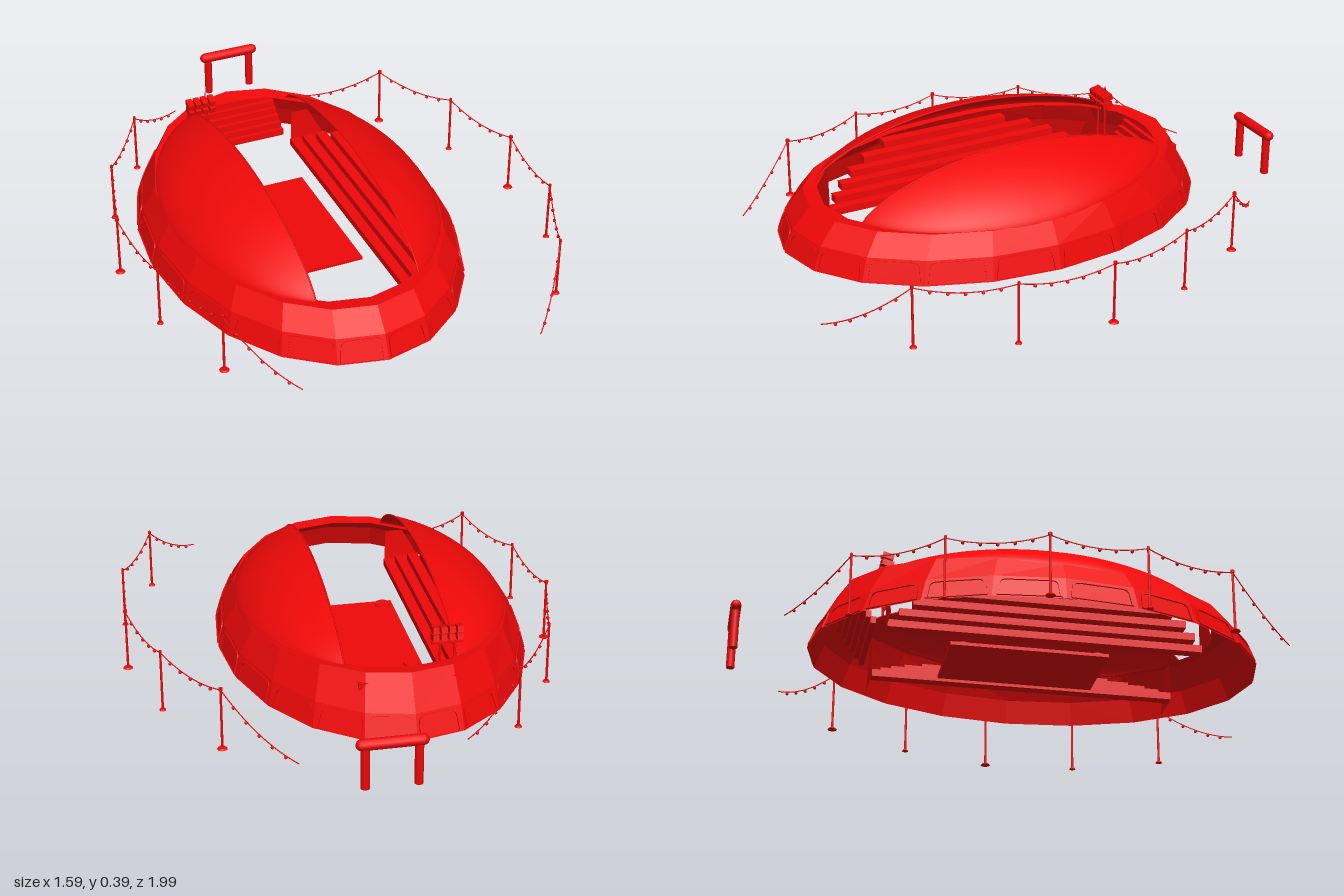
import * as THREE from 'three';

const red = new THREE.MeshStandardMaterial({ color: 0xf00808, side: THREE.DoubleSide });
const redFlat = new THREE.MeshStandardMaterial({ color: 0xf00808, side: THREE.DoubleSide, flatShading: true });
const SIDES = 20;
const V = (x, y, z) => new THREE.Vector3(x, y, z);

function add(parent, name, geo, pos = [0, 0, 0], mat = red) {
  const m = new THREE.Mesh(geo, mat);
  m.name = name;
  m.position.set(...pos);
  parent.add(m);
  return m;
}

// Rectangular patch of points f(s, t), s and t in 0..1, facing dt x ds
function grid(ns, nt, f) {
  const pos = [], idx = [];
  for (let j = 0; j <= nt; j++)
    for (let i = 0; i <= ns; i++) pos.push(...f(i / ns, j / nt).toArray());
  for (let j = 0; j < nt; j++)
    for (let i = 0; i < ns; i++) {
      const a = j * (ns + 1) + i, b = a + 1, c = a + ns + 1, d = c + 1;
      idx.push(a, c, b, b, c, d);
    }
  const g = new THREE.BufferGeometry();
  g.setAttribute('position', new THREE.Float32BufferAttribute(pos, 3));
  g.setIndex(idx);
  g.computeVertexNormals();
  return g;
}

// The rim rises toward the back end
const lift = z => 0.045 * Math.max(0, -z / 0.7);

// Outer wall rings: half width, half length, height
const RINGS = [[0.549, 0.803, 0.045], [0.527, 0.77, 0.13], [0.482, 0.705, 0.205], [0.458, 0.65, 0.2]];
function ringPoint(k, i) {
  const [a, b, y] = RINGS[k], t = (i / SIDES) * Math.PI * 2;
  const z = b * Math.sin(t);
  return V(a * Math.cos(t), y + (k > 1 ? lift(z) : 0), z);
}

function buildWall(g) {
  add(g, 'outerWall', grid(SIDES, 3, (s, t) => ringPoint(Math.round(t * 3), Math.round(s * SIDES))), [0, 0, 0], redFlat);
  // Raised arch frame on every facet
  for (let i = 0; i < SIDES; i++) {
    const p0 = ringPoint(0, i), p1 = ringPoint(0, i + 1);
    const low = p0.clone().lerp(p1, 0.5), high = ringPoint(1, i).lerp(ringPoint(1, i + 1), 0.5);
    const x = p0.clone().sub(p1), w = x.length();
    x.normalize();
    const up = high.sub(low), h = up.length();
    const n = x.clone().cross(up).normalize(), y = n.clone().cross(x);
    const arch = (half, top, r) => {
      const s = new THREE.Shape();
      s.moveTo(-half, 0.004);
      s.lineTo(half, 0.004);
      s.lineTo(half * 0.95, top - r);
      s.quadraticCurveTo(half * 0.94, top, half * 0.94 - r, top);
      s.lineTo(r - half * 0.94, top);
      s.quadraticCurveTo(-half * 0.94, top, -half * 0.95, top - r);
      s.closePath();
      return s;
    };
    const frame = arch(w * 0.44, h * 0.9, 0.026);
    frame.holes.push(arch(w * 0.44 - 0.008, h * 0.9 - 0.007, 0.022));
    const m = add(g, 'archFrame', new THREE.ExtrudeGeometry(frame, { depth: 0.005, bevelEnabled: false, curveSegments: 4 }));
    m.applyMatrix4(new THREE.Matrix4().makeBasis(x, y, n).setPosition(low));
  }
}

// Half-dome roof cut by an upright plane along the pitch
function buildRoof(g, side, edge) {
  const a = 0.48, b = 0.655, h = 0.203, end = b * Math.sqrt(1 - (edge / a) ** 2);
  const point = (s, t) => {
    const z = side * end * Math.sin((s - 0.5) * Math.PI);
    const rim = a * Math.sqrt(1 - (z / b) ** 2);
    const x = edge + (rim - edge) * (1 - t * t);
    const rise = Math.max(0, 1 - (x / a) ** 2 - (z / b) ** 2) ** 0.72;
    return V(side * x, 0.202 + lift(z) * (1 - rise) + h * rise, z);
  };
  add(g, 'roofShell', grid(36, 12, point));
  const path = [];
  for (let i = 0; i <= 24; i++) path.push(point(i / 24, 1));
  add(g, 'roofEdge', new THREE.TubeGeometry(new THREE.CatmullRomCurve3(path), 48, 0.003, 6));
}

// Stepped seating with closed ends
function buildStands(g) {
  for (const side of [1, -1]) {
    for (let i = 0; i < 6; i++) {
      const x = 0.212 + i * 0.038;
      const len = 2 * 0.64 * Math.sqrt(1 - ((x + 0.02) / 0.46) ** 2);
      add(g, 'sideSeatRow', new THREE.BoxGeometry(0.04, 0.027, len), [side * x + 0.012, 0.06 + i * 0.026, 0]);
    }
    for (const end of [1, -1]) {
      const wall = new THREE.Shape();
      wall.moveTo(side * 0.195, 0.045);
      wall.lineTo(side * 0.345, 0.045);
      wall.lineTo(side * 0.265, 0.19);
      wall.lineTo(side * 0.2, 0.19);
      wall.closePath();
      add(g, 'standEndWall', new THREE.ShapeGeometry(wall), [0.012, 0, end * 0.555]);
    }
  }
  for (let i = 0; i < 6; i++)
    add(g, 'endSeatRow', new THREE.BoxGeometry(0.36 - i * 0.006, 0.025, 0.019), [0.01, 0.09 + i * 0.023, -0.595 - i * 0.017]);
}

// Floodlight mast with a cluster of lamps
function buildMast(root) {
  const g = new THREE.Group();
  g.name = 'lampMast';
  g.position.set(-0.005, 0, -0.6);
  g.rotation.y = -0.41;
  for (const x of [-0.025, 0.025]) add(g, 'mastLeg', new THREE.CylinderGeometry(0.004, 0.005, 0.15, 6), [x, 0.2, 0]);
  add(g, 'mastBar', new THREE.BoxGeometry(0.11, 0.008, 0.012), [0, 0.275, 0]);
  for (let i = 0; i < 4; i++)
    for (let j = 0; j < 2; j++) {
      const m = add(g, 'lamp', new THREE.BoxGeometry(0.021, 0.022, 0.04), [(i - 1.5) * 0.028, 0.293 + j * 0.028, 0.004]);
      m.rotation.x = 0.25;
    }
  add(g, 'mastSpike', new THREE.CylinderGeometry(0.002, 0.002, 0.03, 5), [0.02, 0.342, 0]);
  root.add(g);
}

// Poles carrying a sagging string of bulbs; both ends hang free
function buildLightString(root, pts, endHeights) {
  const g = new THREE.Group();
  g.name = 'lightString';
  const last = pts.length - 1;
  const tops = pts.map(([x, z], i) => V(x, i === 0 ? endHeights[0] : i === last ? endHeights[1] : 0.222, z));
  pts.forEach(([x, z, r], i) => {
    if (!r) return;
    add(g, 'pole', new THREE.CylinderGeometry(0.004, 0.0045, 0.23, 8), [x, 0.115, z]);
    add(g, 'poleFoot', new THREE.CylinderGeometry(r * 0.7, r, 0.006, 10), [x, 0.003, z]);
    add(g, 'poleCap', new THREE.CylinderGeometry(r * 0.4, r * 0.4, 0.01, 8), [x, 0.225, z]);
  });
  for (let i = 0; i < last; i++) {
    const mid = tops[i].clone().lerp(tops[i + 1], 0.5);
    mid.y -= 0.05;
    // Free ends bow outward a little
    if (i === 0 || i === last - 1) mid.add(V(mid.x, 0, mid.z).multiplyScalar(0.015));
    const curve = new THREE.QuadraticBezierCurve3(tops[i], mid, tops[i + 1]);
    add(g, 'cable', new THREE.TubeGeometry(curve, 14, 0.002, 5));
    for (let k = 1; k < 6; k++) {
      const p = curve.getPoint(k / 6);
      add(g, 'bulb', new THREE.SphereGeometry(0.006, 8, 6), [p.x, p.y - 0.006, p.z]);
    }
  }
  root.add(g);
}

// Entrance gate: two posts and a round beam
function buildGate(root) {
  const g = new THREE.Group();
  g.name = 'gate';
  g.position.set(0.466, 0, -0.936);
  g.rotation.y = -0.41;
  for (const x of [-0.087, 0.087]) add(g, 'gatePost', new THREE.CylinderGeometry(0.015, 0.015, 0.15, 12), [x, 0.12, 0]);
  add(g, 'gateBeam', new THREE.CapsuleGeometry(0.019, 0.2, 4, 12), [0, 0.203, 0]).rotation.z = Math.PI / 2;
  root.add(g);
}

export function createModel() {
  const root = new THREE.Group();
  root.name = 'stadium';
  const bowl = new THREE.Group();
  bowl.name = 'bowl';
  bowl.position.set(-0.085, 0, -0.025);
  bowl.rotation.y = -0.41;
  root.add(bowl);

  buildWall(bowl);
  buildRoof(bowl, 1, 0.205);
  buildRoof(bowl, -1, 0.18);
  buildStands(bowl);
  add(bowl, 'pitch', new THREE.BoxGeometry(0.295, 0.012, 0.56), [0.009, 0.042, -0.042]);
  for (const z of [-0.275, 0.205])
    add(bowl, 'pitchPad', new THREE.CylinderGeometry(0.028, 0.03, 0.012, 12), [-0.1, 0.05, z]);

  buildMast(root);
  buildGate(root);
  buildLightString(root, [
    [0.14, -0.905], [-0.15, -0.815, 0.013], [-0.434, -0.624, 0.013], [-0.648, -0.354, 0.018],
    [-0.754, -0.03, 0.012], [-0.78, 0.312, 0.018], [-0.717, 0.614],
  ], [0.09, 0.05]);
  buildLightString(root, [
    [0.635, -0.66], [0.749, -0.37, 0.018], [0.78, -0.03, 0.012], [0.728, 0.307, 0.018],
    [0.569, 0.614, 0.012], [0.32, 0.852, 0.013], [0.045, 0.995],
  ], [0.045, 0.05]);
  return root;
}
